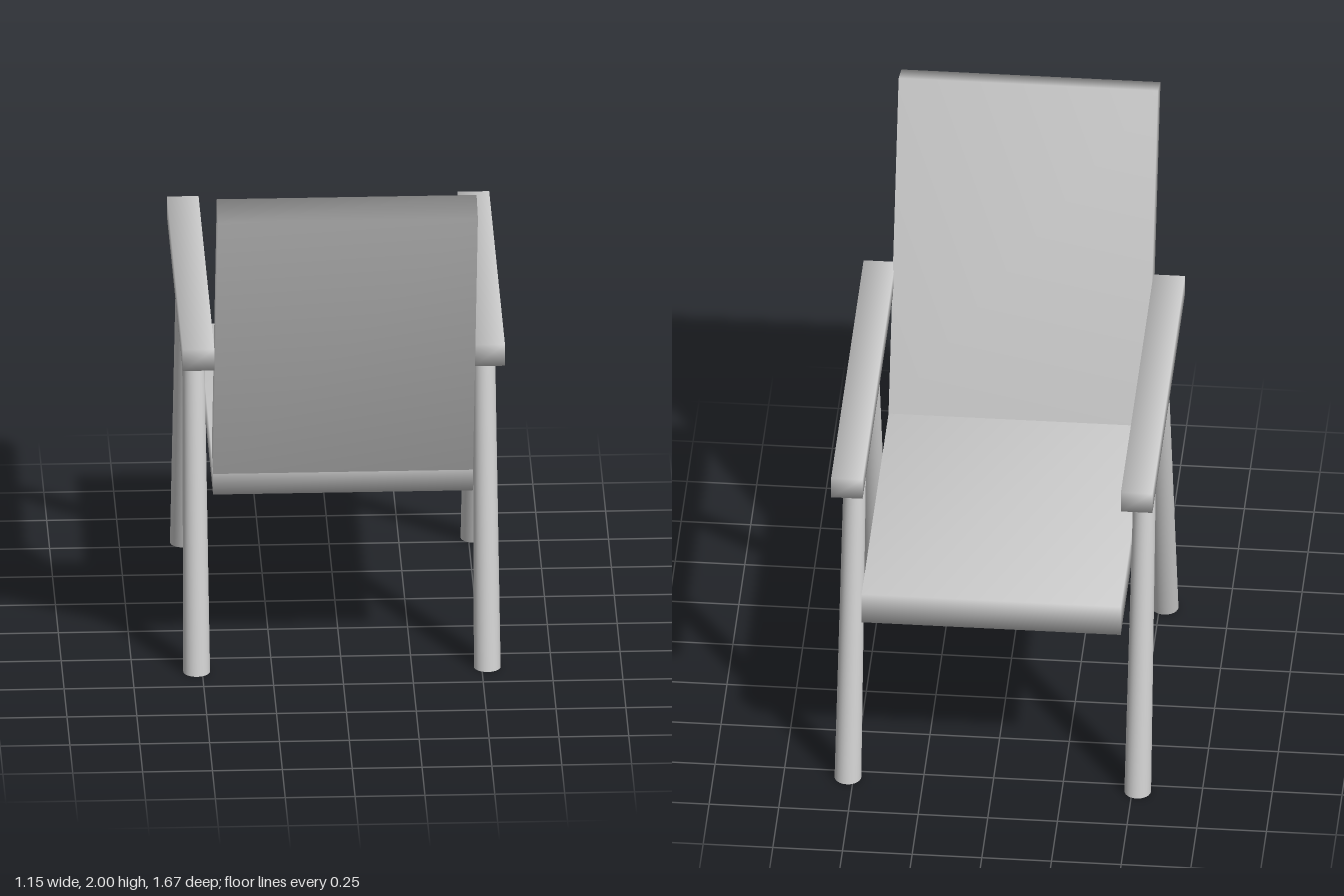
import * as THREE from 'three';
import { mergeVertices } from 'three/addons/utils/BufferGeometryUtils.js';

const material = new THREE.MeshStandardMaterial({ color: 0xcccccc });

// Welds shared corners so the shading runs softly over every edge
function soften(geometry) {
  geometry.deleteAttribute('normal');
  geometry.deleteAttribute('uv');
  const welded = mergeVertices(geometry, 1e-4);
  welded.computeVertexNormals();
  return welded;
}

function addPart(parent, name, geometry, x, y, z) {
  const mesh = new THREE.Mesh(soften(geometry), material);
  mesh.name = name;
  mesh.position.set(x, y, z);
  parent.add(mesh);
  return mesh;
}

// Tapered leg sheared along z, so both ends stay level
function legGeometry(height, zFoot, zTop) {
  const geometry = new THREE.CylinderGeometry(0.039, 0.048, height, 24);
  geometry.translate(0, height / 2, 0);
  const p = geometry.attributes.position;
  for (let i = 0; i < p.count; i++) {
    p.setZ(i, p.getZ(i) + THREE.MathUtils.lerp(zFoot, zTop, p.getY(i) / height));
  }
  return geometry;
}

export function createModel() {
  const chair = new THREE.Group();
  chair.name = 'armchair';

  // Cushions: a flat seat and a matching board leaning back
  const width = 0.93, length = 1.242, thickness = 0.122;
  addPart(chair, 'seat', new THREE.BoxGeometry(width, thickness, length), 0.002, 0.77, -0.212);
  const back = addPart(chair, 'backrest', new THREE.BoxGeometry(width, length, thickness), 0.002, 1.395, 0.567);
  back.rotation.x = THREE.MathUtils.degToRad(20);

  // Armrest with its two splayed legs on each side
  for (const [side, label] of [[1, 'left'], [-1, 'right']]) {
    const frame = new THREE.Group();
    frame.name = label + 'SideFrame';
    frame.position.x = side * 0.52;
    chair.add(frame);
    addPart(frame, 'armrest', new THREE.BoxGeometry(0.113, 0.083, 1.365), 0, 1.289, -0.15);
    addPart(frame, 'legUnderBackrest', legGeometry(1.25, 0.365, 0.045), 0, 0, 0);
    addPart(frame, 'legUnderSeatEdge', legGeometry(1.25, -0.787, -0.465), 0, 0, 0);
  }
  return chair;
}
